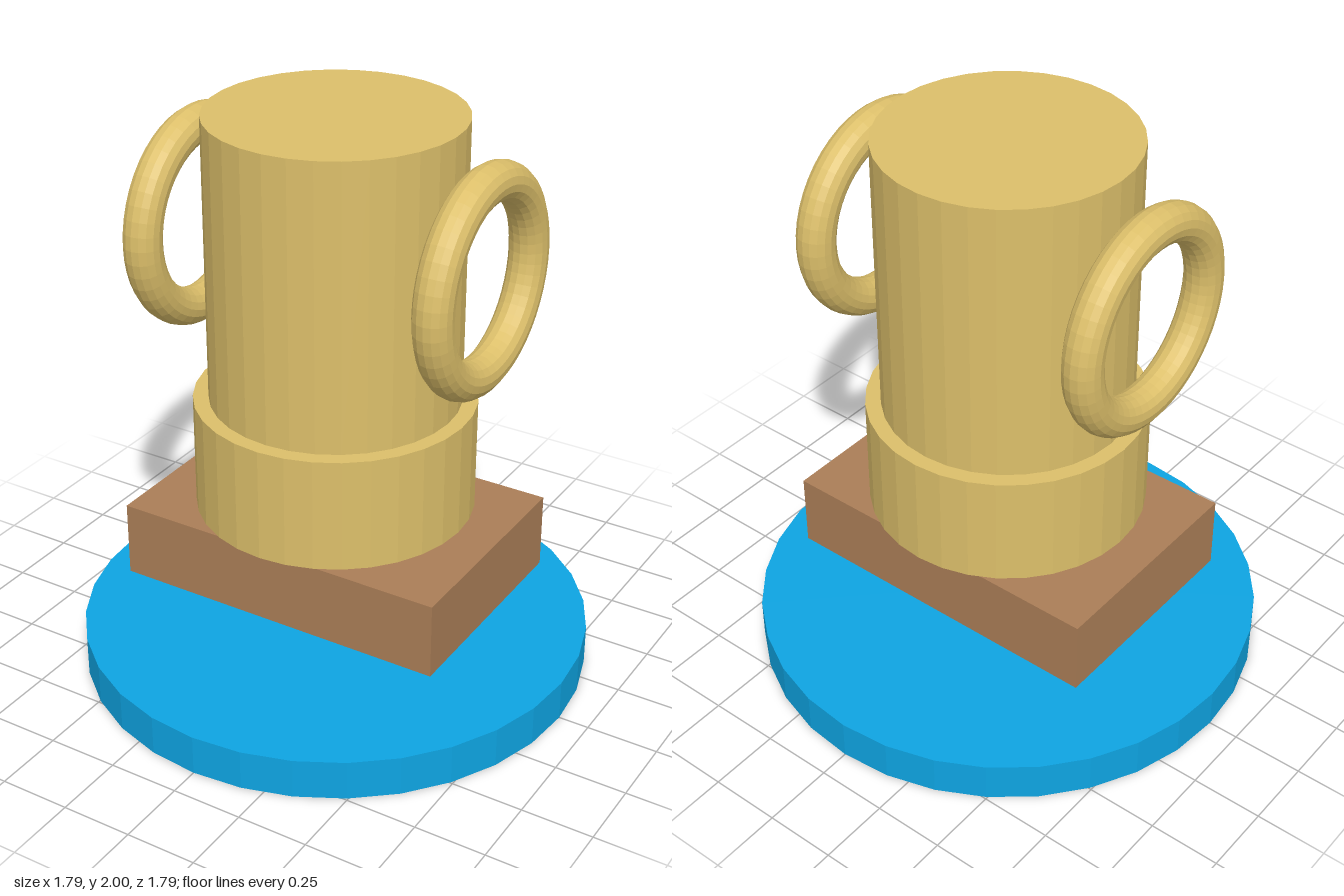
import * as THREE from 'three';

export function createModel() {
  const model = new THREE.Group();
  model.name = 'trophy';

  const material = (name, color, flatShading) => {
    const m = new THREE.MeshStandardMaterial({ color, flatShading });
    m.name = name;
    return m;
  };
  const gold = material('gold', 0xdcbf6a, true);
  const brown = material('brown', 0xab7e57, true);
  const blue = material('blue', 0x0ea4e2, true);

  const add = (name, geometry, mat, x, y) => {
    const mesh = new THREE.Mesh(geometry, mat);
    mesh.name = name;
    mesh.position.set(x, y, 0);
    model.add(mesh);
    return mesh;
  };
  // Upright cylinder between two heights
  const disc = (name, radius, bottom, top, mat) =>
    add(name, new THREE.CylinderGeometry(radius, radius, top - bottom, 32), mat, 0, (bottom + top) / 2);

  // Floating stack: round base, wooden block, collar and cup
  disc('base', 0.893, 0, 0.143, blue);
  add('block', new THREE.BoxGeometry(1.21, 0.268, 0.804), brown, 0, 0.444);
  disc('collar', 0.483, 0.608, 1.007, gold);
  disc('cup', 0.43, 1.007, 2, gold);

  // Ring handles, mirrored on either side of the cup
  for (const side of [-1, 1]) {
    const ring = new THREE.TorusGeometry(0.322, 0.066, 16, 48);
    ring.rotateY(Math.PI / 2);
    add(side > 0 ? 'leftHandle' : 'rightHandle', ring, gold, side * 0.539, 1.545);
  }

  return model;
}
